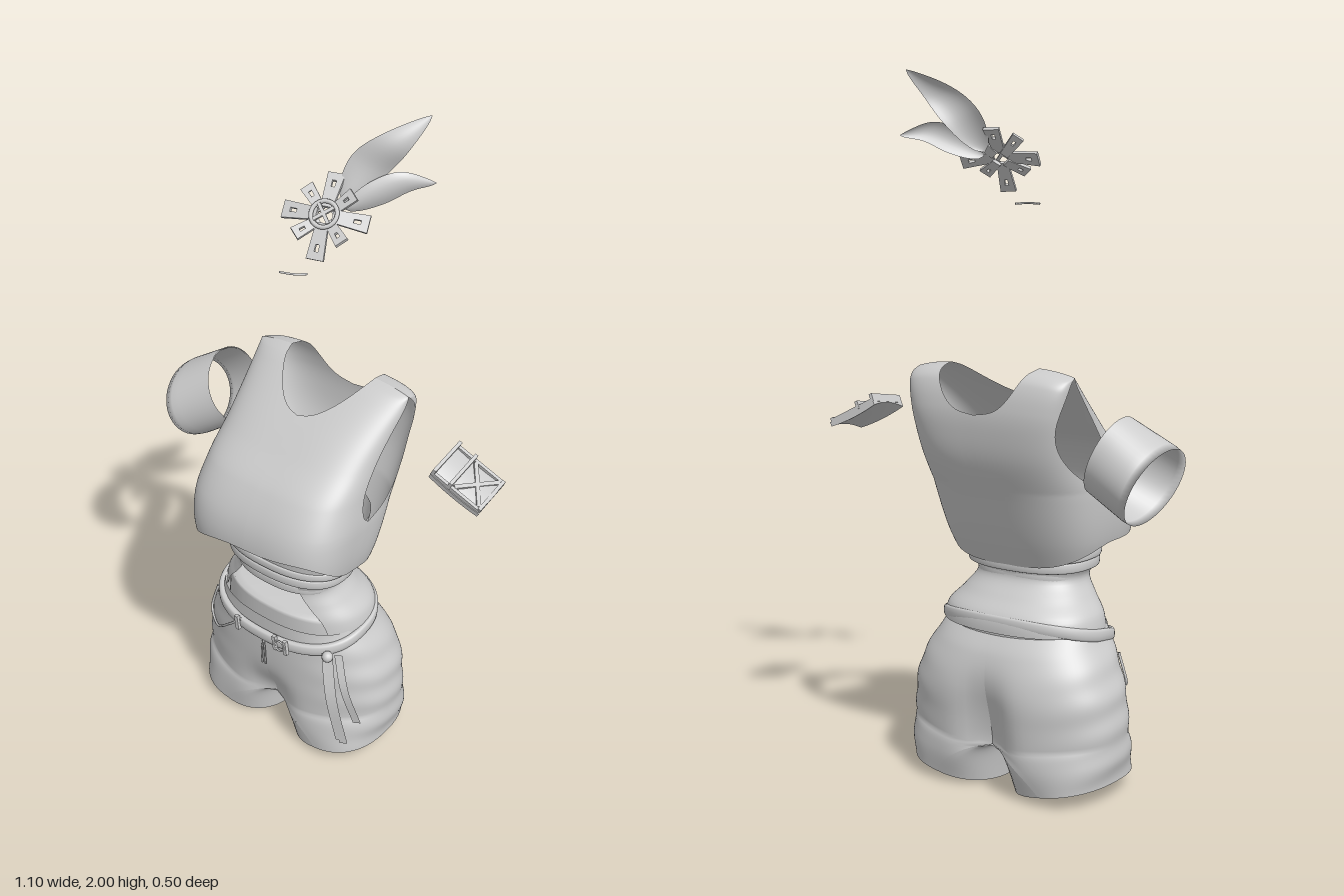
import * as THREE from 'three';
import { mergeVertices } from 'three/addons/utils/BufferGeometryUtils.js';

const mat = new THREE.MeshStandardMaterial({ color: 0xcccccc, side: THREE.DoubleSide });
const X0 = -0.022; // body axis
const { PI, sin, cos, abs, sign, pow, sqrt, exp } = Math;
const lerp = THREE.MathUtils.lerp, clamp = THREE.MathUtils.clamp;
const V = (x, y, z) => new THREE.Vector3(x, y, z);

// smooth lookup in rows of [y, halfWidth, frontZ, backZ]
function look(t, y) {
  y = clamp(y, t[0][0], t[t.length - 1][0]);
  let i = 0;
  while (i < t.length - 2 && y > t[i + 1][0]) i++;
  const a = t[i], b = t[i + 1], p = t[Math.max(i - 1, 0)], q = t[Math.min(i + 2, t.length - 1)];
  const h = b[0] - a[0], s = (y - a[0]) / h;
  return [1, 2, 3].map(k => {
    const m0 = (b[k] - p[k]) / (b[0] - p[0]) * h, m1 = (q[k] - a[k]) / (q[0] - a[0]) * h;
    return (2 * s ** 3 - 3 * s * s + 1) * a[k] + (s ** 3 - 2 * s * s + s) * m0
      + (3 * s * s - 2 * s ** 3) * b[k] + (s ** 3 - s * s) * m1;
  });
}
const sp = (v, e) => sign(v) * pow(abs(v), e);
// point on a rounded-box section; phi 0 = front, PI/2 = left side
function section([w, f, b], phi, y, n, grow = 0) {
  return V(X0 + (w + grow) * sp(sin(phi), 2 / n), y, (f + b) / 2 + ((f - b) / 2 + grow) * sp(cos(phi), 2 / n));
}
// grid surface from a rule (u, v) -> point
function patch(name, nu, nv, fn, flip = false) {
  const pos = [], idx = [];
  for (let j = 0; j <= nv; j++) for (let i = 0; i <= nu; i++) pos.push(...fn(i / nu, j / nv).toArray());
  for (let j = 0; j < nv; j++) for (let i = 0; i < nu; i++) {
    const a = j * (nu + 1) + i, b = a + 1, c = a + nu + 1, d = c + 1;
    idx.push(...(flip ? [a, d, b, a, c, d] : [a, b, d, a, d, c]));
  }
  let g = new THREE.BufferGeometry();
  g.setAttribute('position', new THREE.Float32BufferAttribute(pos, 3));
  g.setIndex(idx);
  g = mergeVertices(g, 1e-5);
  g.computeVertexNormals();
  const m = new THREE.Mesh(g, mat);
  m.name = name;
  return m;
}
function add(parent, name, geo, p = [0, 0, 0], r = [0, 0, 0]) {
  const m = new THREE.Mesh(geo, mat);
  m.name = name; m.position.set(...p); m.rotation.set(...r);
  parent.add(m);
  return m;
}
const curve = pts => new THREE.CatmullRomCurve3(pts.map(p => V(...p)));
const tube = (pts, r, n = 30) => new THREE.TubeGeometry(curve(pts), n, r, 6);
// strip along a path, with a width rule and a cupped middle
function strip(name, pts, across, width, cup = 0, normal = V(0, 0, 1)) {
  const c = curve(pts);
  return patch(name, 8, 24, (u, v) => c.getPoint(v)
    .addScaledVector(across, (u - 0.5) * width(v))
    .addScaledVector(normal, cup * width(v) * (1 - (2 * u - 1) ** 2)));
}
// padded band round the body
function band(name, dims, yRule, h, t) {
  return patch(name, 72, 12, (u, v) => {
    const a = v * 2 * PI, p = section(dims, u * 2 * PI, 0, 2.4, t * sp(cos(a), 0.7));
    p.y = yRule(u * 2 * PI) + h * sp(sin(a), 0.7);
    return p;
  });
}

const SHIRT = [[.62, .215, .2, -.09], [.72, .25, .247, -.14], [.84, .262, .243, -.19], [.95, .256, .185, -.235],
  [1.03, .254, .1, -.25], [1.1, .257, .02, -.25], [1.17, .262, -.07, -.23], [1.198, .262, -.115, -.2], [1.21, .262, -.155, -.155]];
const WAIST = [[.4, .25, .15, -.165], [.5, .235, .15, -.165], [.55, .195, .15, -.12], [.6, .165, .15, -.08],
  [.65, .19, .16, -.09], [.75, .22, .17, -.12], [.85, .23, .17, -.15]];
const SHORTS = [[0, .325, .15, -.2], [.08, .335, .155, -.215], [.2, .332, .16, -.225], [.3, .315, .163, -.225],
  [.4, .275, .165, -.195], [.47, .238, .165, -.15]];

// cropped sleeveless top: one quarter, trimmed by armhole and neckline
function shirtQuarter(s, back) {
  const top = 1.21, neckY = back ? 1.085 : 1.11;
  return patch(back ? 'topBack' : 'topFront', 28, 90, (u, v) => {
    const k = back ? 1 - u : u, phi0 = back ? PI - k * PI / 2 : k * PI / 2;
    const hem = .71 + .07 * cos(phi0) + (back ? 0 : .03 * s * sin(2 * phi0));
    const y = lerp(hem, top, 1 - pow(1 - v, 1.4)), d = look(SHIRT, y);
    const t = clamp((y - .87) / (top - .87), 0, 1), n = back ? 3 + 2.5 * t : 3.7 - .7 * t;
    const arm = v === 1 ? PI / 2 : Math.acos(pow((back ? .74 : .32) * sqrt(abs(sin(PI * t))), n / 2));
    const rise = clamp((y - neckY) / (top - neckY), 0, 1);
    const neck = Math.asin(pow(.148 * pow(rise, back ? .33 : .5) / d[0], n / 2));
    const a = lerp(neck, arm, k);
    const p = section(d, back ? PI - a : a, y, n);
    p.y -= .02 * ((p.x - X0) / .262) ** 4 * t;
    p.x = X0 + s * (p.x - X0);
    return p;
  }, s < 0);
}

// one half of the shorts: outer shell, inner leg below the crotch, recessed leg lining
function shortsHalf(s) {
  const g = new THREE.Group(), crotch = .13, n = 2.4;
  g.name = s > 0 ? 'leftShortsHalf' : 'rightShortsHalf';
  const point = (phi, y, inner) => {
    const [w, f, b] = look(SHORTS, y), drop = clamp((crotch - y) / crotch, 0, 1);
    const gap = .033 * pow(drop, .45), start = lerp(0, (w + gap) / 2, sqrt(drop));
    const e = sp(abs(sin(phi)), 2 / n);
    const x = inner ? start - (start - gap) * e : start + (w - start + .0025 * sin(y * 62 + 2 * phi)) * e;
    const mid = exp(-((x / .07) ** 2));
    let z = (f - b) / 2 * sp(cos(phi), 2 / n) * (1 - .25 * mid * exp(-(((y - crotch) / .09) ** 2)));
    if (z < 0) z += .03 * mid * exp(-(((y - .25) / .09) ** 2));
    return V(X0 + s * x, y + .055 * clamp((x - .03) / .3, 0, 1) * (1 - y / .47), (f + b) / 2 + z);
  };
  g.add(patch('shortsShell', 44, 56, (u, v) => point(u * PI, .47 * v, false), s < 0));
  g.add(patch('innerLeg', 24, 20, (u, v) => point((1 - u) * PI, crotch * v, true), s < 0));
  const centre = V(X0 + s * .18, .03, -.025);
  g.add(patch('legLining', 48, 8, (u, v) => {
    const p = point(PI - abs(PI - u * 2 * PI), 0, u > .5).lerp(centre, v);
    p.y += .07 * (1 - (1 - v) ** 2);
    return p;
  }, s > 0));
  return g;
}

// slotted petal lying along +y
function petalGeometry(len, w) {
  const sh = new THREE.Shape([[-w * .35, .02], [w * .35, .02], [w / 2, len], [-w / 2, len]].map(p => new THREE.Vector2(...p)));
  const h = [[-w * .1, len * .66], [-w * .12, len * .82], [w * .12, len * .82], [w * .1, len * .66]];
  sh.holes.push(new THREE.Path(h.map(p => new THREE.Vector2(...p))));
  return new THREE.ExtrudeGeometry(sh, { depth: .01, bevelEnabled: false });
}

function hairOrnament() {
  const g = new THREE.Group(), flower = new THREE.Group();
  g.name = 'hairOrnament'; flower.name = 'flower';
  for (let i = 0; i < 8; i++) {
    const m = add(flower, 'petal', petalGeometry(i % 2 ? .092 : .114, i % 2 ? .036 : .046), [0, 0, i % 2 ? -.014 : 0]);
    m.rotation.order = 'ZXY';
    m.rotation.set(i % 2 ? .2 : -.15, 0, i * PI / 4 + .1);
  }
  add(flower, 'flowerRing', new THREE.TorusGeometry(.034, .006, 8, 28), [0, 0, .012]);
  for (const a of [.8, -.8]) add(flower, 'flowerCross', new THREE.BoxGeometry(.06, .009, .008), [0, 0, .016], [0, 0, a]);
  flower.position.set(.092, 1.767, .035);
  flower.quaternion.setFromUnitVectors(V(0, 0, 1), V(.25, .67, .7).normalize());
  g.add(flower);
  const leafW = w => v => w * pow(sin(PI * pow(v, .75)), .8) + .002;
  g.add(strip('tallLeaf', [[.1, 1.78, -.03], [.135, 1.87, -.085], [.195, 1.94, -.115], [.25, 2, -.185]],
    V(.8, -.38, -.38).normalize(), leafW(.1), .15, V(.45, 0, .9)));
  g.add(strip('lowLeaf', [[.11, 1.77, -.02], [.17, 1.81, -.08], [.22, 1.835, -.13], [.27, 1.825, -.19]],
    V(.25, -.9, -.2).normalize(), leafW(.07), .18, V(.6, .2, .75)));
  return g;
}

export function createModel() {
  const root = new THREE.Group();
  root.name = 'outfit';
  for (const s of [1, -1]) {
    root.add(shirtQuarter(s, false), shirtQuarter(s, true), shortsHalf(s));
  }

  // under layer and rib bands
  root.add(patch('underTop', 72, 16, (u, v) => {
    const y = lerp(.625, .83, v);
    return section(look(WAIST, y), u * 2 * PI, y, 2.5);
  }));
  root.add(band('upperBand', [.2, .166, -.1], p => .672 + .008 * cos(p), .013, .006));
  root.add(band('lowerBand', [.193, .164, -.095], p => .643 + .006 * cos(p), .015, .006));
  root.add(band('waistStrap', [.165, .152, -.08], () => .608, .013, .003));

  // waist wrap open at the front, with a closed lining inside it
  root.add(patch('waistWrap', 60, 20, (u, v) => {
    const y = lerp(.46, .63, v), a = lerp(.85, .6, v);
    return section(look(WAIST, y), lerp(a, 2 * PI - a, u), y, 2.3, .004);
  }));
  root.add(patch('waistLining', 60, 16, (u, v) => {
    const y = lerp(.4, .505, Math.min(2 * v, 1)), k = Math.min(2 - 2 * v, 1);
    const p = section(look(WAIST, y), u * 2 * PI, y, 2.3, -.006);
    return V(lerp(X0, p.x, k), y + .01 * (1 - k * k), lerp(-.01, p.z, k));
  }));

  // belt with loops, buckle, cord and hanging ribbons
  root.add(band('belt', [.248, .176, -.16], p => .452 - .04 * cos(p), .018, .011));
  for (const x of [-.11, .035, .075])
    add(root, 'beltLoop', new THREE.BoxGeometry(.012, .048, .012), [x, .416, .185], [0, 0, .12]);
  add(root, 'buckle', new THREE.TorusGeometry(.018, .003, 6, 20), [.055, .416, .19]);
  add(root, 'sideCord', tube([[-.1, .43, .18], [-.16, .37, .17], [-.24, .3, .135], [-.31, .3, .08], [-.29, .39, .07]], .004));
  for (const x of [-.028, -.016])
    add(root, 'drawstring', tube([[-.022, .39, .17], [x, .34, .172], [x, .29, .17]], .003, 10));
  const ribbon = (a, b, w) => strip('ribbon', [a, a.map((v, i) => lerp(v, b[i], .45) + (i === 2 ? .02 : i ? 0 : .006)), b],
    V(.85, 0, -.5), () => w);
  root.add(ribbon([.2, .43, .14], [.25, .085, .125], .024), ribbon([.225, .43, .125], [.28, .17, .1], .024));
  root.add(ribbon([.185, .43, .145], [.235, .1, .135], .012));
  add(root, 'ribbonKnot', new THREE.SphereGeometry(.017, 14, 10), [.2, .425, .145]);

  // upper-arm cuff
  const dir = V(-.84, -.54, 0), up = V(-.4, .92, 0).normalize();
  root.add(patch('armCuff', 48, 14, (u, v) => {
    const k = v < .5 ? 2 * v : 2 - 2 * v, thick = v < .5 ? 0 : .003, a = u * 2 * PI;
    return V(-.384, .993, -.138).addScaledVector(dir, .145 * k)
      .addScaledVector(up, (lerp(.115, .117, k) - thick) * cos(a))
      .add(V(0, 0, (lerp(.105, .138, k) - thick) * sin(a) + .028 * k));
  }));

  // curved wrist pad with crossed straps and a framed flap
  const pad = new THREE.Group();
  pad.name = 'wristPad';
  const plate = new THREE.BoxGeometry(.168, .014, .138, 12, 1, 8), pp = plate.attributes.position;
  for (let i = 0; i < pp.count; i++)
    pp.setY(i, pp.getY(i) - 2.2 * pp.getZ(i) ** 2 + .8 * pp.getX(i) ** 2);
  plate.computeVertexNormals();
  add(pad, 'padPlate', plate);
  for (const a of [.92, -.92]) add(pad, 'crossStrap', new THREE.BoxGeometry(.14, .007, .012), [.03, .008, 0], [0, a, 0]);
  for (const z of [-.062, .062]) add(pad, 'padEdge', new THREE.BoxGeometry(.16, .014, .01), [0, .003, z]);
  for (const x of [-.08, -.024]) add(pad, 'flapEdge', new THREE.BoxGeometry(.01, .024, .135), [x, .012, 0]);
  add(pad, 'padEnd', new THREE.BoxGeometry(.01, .016, .13), [.078, .006, 0]);
  pad.position.set(.465, 1.032, -.125);
  pad.rotation.set(.15, .04, -.47);
  root.add(pad);

  // flower, leaves and the thin loose arc below
  root.add(hairOrnament());
  add(root, 'thinArc', tube([[.038, 1.638, .15], [.075, 1.64, .14], [.1, 1.638, .115]], .003, 12));
  return root;
}
